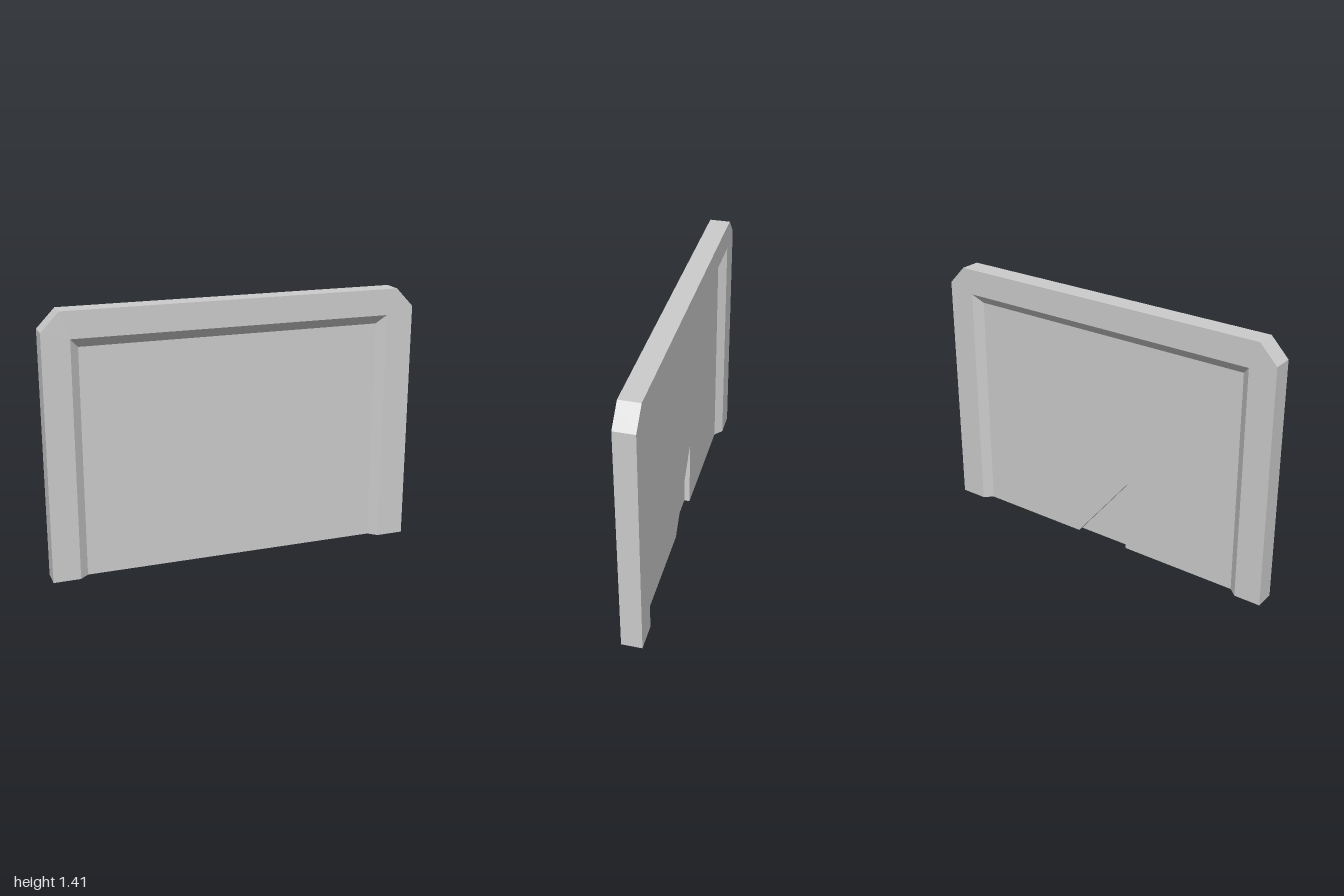
import * as THREE from 'three';

const V = (x, y, z) => new THREE.Vector3(x, y, z);
const HALF = 0.055;  // frame half thickness
const PANEL = 0.015; // recessed panel half thickness

// Mesh from convex (or star-shaped about their first corner) polygons, flat shaded
function polyMesh(name, polys, side = THREE.FrontSide) {
  const pts = [];
  for (const p of polys) {
    for (let i = 1; i < p.length - 1; i++) {
      const tri = new THREE.Triangle(p[0], p[i], p[i + 1]);
      if (tri.getArea() > 1e-8) pts.push(tri.a, tri.b, tri.c);
    }
  }
  const geo = new THREE.BufferGeometry().setFromPoints(pts);
  geo.computeVertexNormals();
  const mesh = new THREE.Mesh(geo, new THREE.MeshStandardMaterial({ color: 0xcccccc, flatShading: true, side }));
  mesh.name = name;
  return mesh;
}

export function createModel() {
  const group = new THREE.Group();
  group.name = 'framedPanel';

  // Outlines run up the -x leg, over the top and down the +x leg
  const outer = [[-1, 0], [-1, 1.31], [-0.905, 1.41], [0.905, 1.41], [1, 1.31], [1, 0]];
  const arch = (l, r, t) => [[l, 0], [l, t], [l, t], [r, t], [r, t], [r, 0]];
  const L = -0.811, R = 0.806, T = 1.22;
  const opening = arch(-0.856, 0.851, 1.27);
  const inner = arch(L, R, T);

  // Frame: rings from the back recess, around the rim, to the front recess
  const rings = [
    [inner, -PANEL], [opening, -HALF], [outer, -HALF],
    [outer, HALF], [opening, HALF], [inner, PANEL],
  ].map(([line, z]) => line.map(([x, y]) => V(x, y, z)));
  const framePolys = [];
  for (let r = 0; r < rings.length - 1; r++) {
    for (let i = 0; i < outer.length - 1; i++) {
      framePolys.push([rings[r + 1][i], rings[r + 1][i + 1], rings[r][i + 1], rings[r][i]]);
    }
  }
  // Undersides of the two legs
  framePolys.push(rings.map(r => r[0]).reverse(), rings.map(r => r[5]));
  group.add(polyMesh('frame', framePolys));

  // Front panel sheet, also seen from behind through the notch
  const f = PANEL, b = -PANEL;
  group.add(polyMesh('frontPanel',
    [[V(L, 0, f), V(R, 0, f), V(R, T, f), V(L, T, f)]], THREE.DoubleSide));

  // Back panel with a triangular notch at the bottom, fanned from the notch tip
  const tip = [-0.158, 0.406], n0 = -0.147, n1 = 0.17;
  const back = [tip, [n0, 0], [L, 0], [L, T], [R, T], [R, 0], [n1, 0]];
  group.add(polyMesh('backPanel', [back.map(([x, y]) => V(x, y, b))]));

  // Panel underside on both sides of the notch
  group.add(polyMesh('panelUnderside', [[L, n0], [n1, R]].map(([x0, x1]) =>
    [V(x0, 0, b), V(x1, 0, b), V(x1, 0, f), V(x0, 0, f)])));

  // Notch walls
  group.add(polyMesh('notchWalls', [n0, n1].map(x =>
    [V(x, 0, b), V(x, 0, f), V(...tip, f), V(...tip, b)]), THREE.DoubleSide));

  return group;
}
